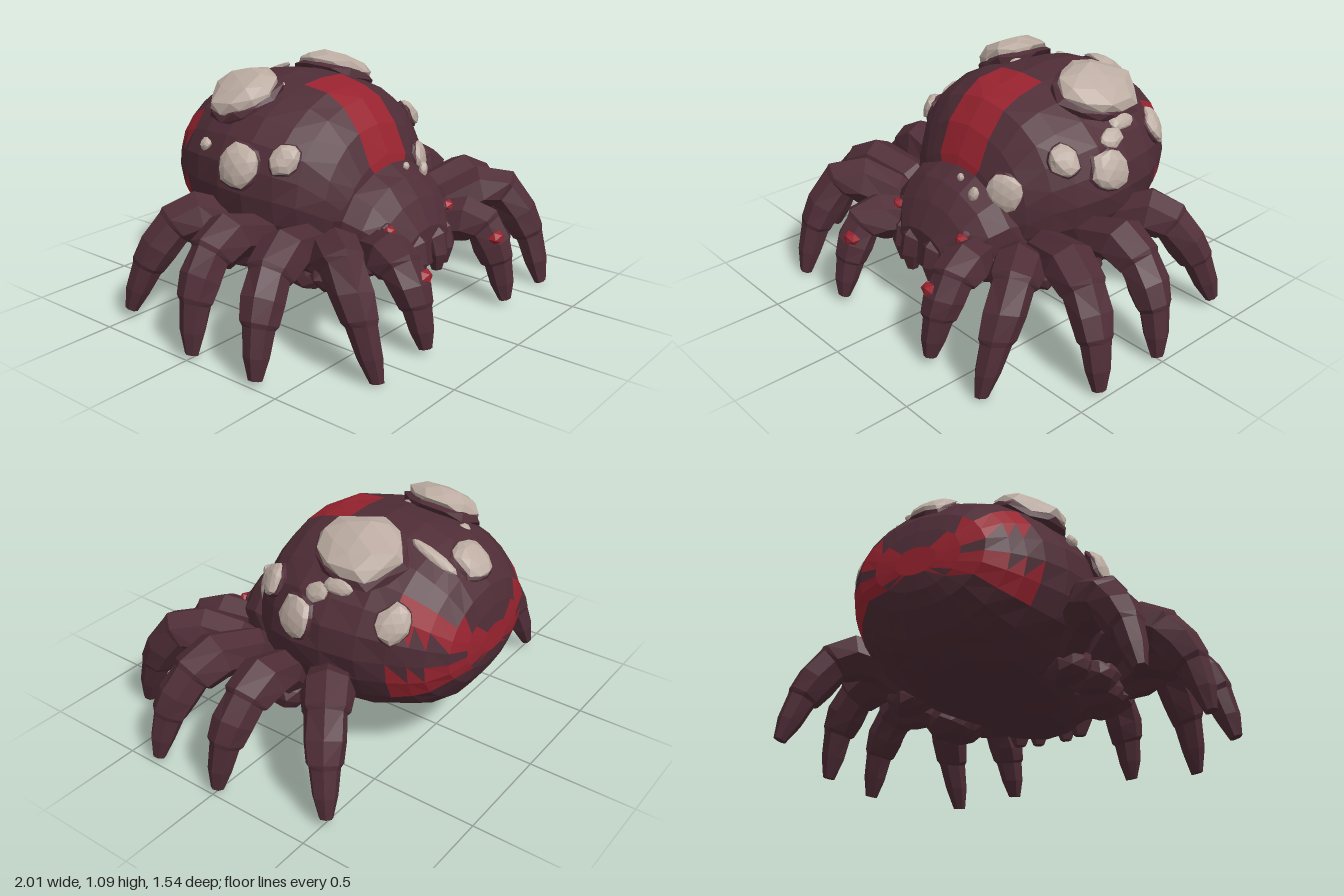
import * as THREE from 'three';

const mat = (name, color) => Object.assign(new THREE.MeshStandardMaterial({ color }), { name });
const V = (x, y, z) => new THREE.Vector3(x, y, z);

// Small repeatable wobble for a hand-cut look
const wobble = (a, b) => { const s = Math.sin(a * 12.99 + b * 78.23) * 43758.55; return s - Math.floor(s) - 0.5; };

// Flat-faceted skin over rings with closed ends; isAccent(centroid) picks the second material
function loft(rings, isAccent = () => false) {
  const faces = [[], []];
  const tri = (a, b, c) => {
    const mid = V(0, 0, 0).add(a).add(b).add(c).divideScalar(3);
    faces[isAccent(mid) ? 1 : 0].push(a, b, c);
  };
  const n = rings[0].length;
  for (let j = 0; j < rings.length - 1; j++) {
    for (let i = 0; i < n; i++) {
      const k = (i + 1) % n, a = rings[j][i], b = rings[j][k], c = rings[j + 1][i], d = rings[j + 1][k];
      if (i < n / 2) { tri(a, c, b); tri(b, c, d); } else { tri(a, d, b); tri(a, c, d); }
    }
  }
  const centre = (r) => r.reduce((s, p) => s.add(p), V(0, 0, 0)).divideScalar(n);
  const first = rings[0], last = rings[rings.length - 1], c0 = centre(first), c1 = centre(last);
  for (let i = 0; i < n; i++) {
    const k = (i + 1) % n;
    tri(c0, first[i], first[k]);
    tri(c1, last[k], last[i]);
  }
  const geo = new THREE.BufferGeometry().setFromPoints([...faces[0], ...faces[1]]);
  geo.addGroup(0, faces[0].length, 0);
  if (faces[1].length) geo.addGroup(faces[0].length, faces[1].length, 1);
  geo.computeVertexNormals();
  return geo;
}

// Elliptical cross-sections along z: [z, half width, top, bottom].
// The first point either side of the top sits at x = +-strip, so a stripe keeps its width.
function bodyRings(stations, n, rough, strip) {
  return stations.map(([z, w, top, bottom], j) => {
    const a1 = Math.asin(Math.min(strip / w, 0.5));
    return Array.from({ length: n }, (_, i) => {
      const m = Math.min(i, n - i), sign = i > n / 2 ? -1 : 1;
      const a = m === 0 ? 0 : sign * (a1 + ((m - 1) / (n / 2 - 1)) * (Math.PI - a1));
      const k = 1 + rough * wobble(i, j);
      return V(Math.sin(a) * w * k, (top + bottom) / 2 + Math.cos(a) * k * (top - bottom) / 2, z);
    });
  });
}

// Tapered limb through points; profile is [t, radius]
function limb(points, profile, scale, sides = 7) {
  const curve = new THREE.CatmullRomCurve3(points);
  const dir = points[points.length - 1].clone().sub(points[0]).setY(0);
  const side = V(0, 1, 0).cross(dir).normalize();
  return loft(profile.map(([t, r], j) => {
    const c = curve.getPoint(t), up = curve.getTangent(t).cross(side).normalize();
    return Array.from({ length: sides }, (_, i) => {
      const a = (i / sides) * Math.PI * 2, k = r * scale * (1 + 0.12 * wobble(i, j + 3));
      return c.clone().addScaledVector(up, Math.cos(a) * k).addScaledVector(side, Math.sin(a) * k);
    });
  }));
}

// Rough faceted lump
function lump(rx, ry, rz, seed, detail = 1) {
  const geo = new THREE.IcosahedronGeometry(1, detail), p = geo.attributes.position;
  for (let i = 0; i < p.count; i++) {
    const x = p.getX(i), y = p.getY(i), z = p.getZ(i);
    const k = 1 + 0.2 * wobble(Math.round(x * 50) + seed, Math.round(y * 50) + Math.round(z * 50) * 3);
    p.setXYZ(i, x * rx * k, y * ry * k, z * rz * k);
  }
  geo.computeVertexNormals();
  return geo;
}

export function createModel() {
  const model = new THREE.Group();
  model.name = 'spider';
  const shell = mat('dark shell', 0x4f2d37);
  const red = mat('red marking', 0x98232f);
  const bone = mat('pale crust', 0xbcaca2);
  const add = (name, geo, material, parent = model) => {
    const m = new THREE.Mesh(geo, material);
    m.name = name;
    parent.add(m);
    return m;
  };

  // Abdomen with a front stripe and a forked rear band
  const abdomen = bodyRings([
    [-0.772, 0.1, 0.67, 0.54], [-0.758, 0.21, 0.755, 0.47], [-0.73, 0.31, 0.835, 0.4], [-0.66, 0.39, 0.92, 0.3],
    [-0.6, 0.43, 0.96, 0.255], [-0.52, 0.475, 1.0, 0.215], [-0.4, 0.525, 1.03, 0.18], [-0.24, 0.56, 1.045, 0.165],
    [-0.09, 0.56, 1.035, 0.165], [0.05, 0.52, 1.01, 0.165], [0.14, 0.46, 0.97, 0.17], [0.23, 0.38, 0.86, 0.2],
    [0.29, 0.29, 0.73, 0.25], [0.32, 0.14, 0.62, 0.35],
  ], 24, 0.03, 0.135);
  const isMarked = ({ x, y, z }) => {
    if (z > -0.09) return Math.abs(x) < 0.12 && y > 0.62;
    if (z > -0.52) return false;
    const t = THREE.MathUtils.clamp((Math.abs(x) - 0.13) / 0.26, 0, 1);
    return Math.abs(y - 0.61 - 0.2 * t) < 0.07 || Math.abs(y - 0.6 + 0.11 * t) < 0.065;
  };
  add('abdomen', loft(abdomen, isMarked), [shell, red]);

  // Head and underside
  add('head', loft(bodyRings([
    [0.08, 0.34, 0.6, 0.18], [0.2, 0.37, 0.66, 0.175], [0.3, 0.36, 0.685, 0.18],
    [0.39, 0.32, 0.64, 0.19], [0.46, 0.26, 0.56, 0.21], [0.525, 0.16, 0.44, 0.25],
  ], 14, 0.05, 0.12)), shell);

  // Five pairs of limbs: [thickness, points from hip to tip]
  const limbs = [
    [0.97, [0.2, 0.33, 0.34], [0.28, 0.39, 0.47], [0.325, 0.375, 0.59], [0.33, 0.23, 0.685], [0.325, 0.035, 0.74]],
    [1, [0.34, 0.3, 0.28], [0.51, 0.44, 0.4], [0.61, 0.46, 0.51], [0.66, 0.27, 0.65], [0.66, 0.015, 0.74]],
    [1, [0.36, 0.3, 0.18], [0.58, 0.46, 0.23], [0.77, 0.41, 0.28], [0.9, 0.25, 0.33], [0.965, 0.025, 0.36]],
    [1, [0.42, 0.3, -0.01], [0.61, 0.47, -0.04], [0.78, 0.42, -0.04], [0.91, 0.26, -0.02], [0.968, 0.025, 0]],
    [1, [0.36, 0.3, -0.16], [0.54, 0.47, -0.28], [0.67, 0.44, -0.37], [0.79, 0.27, -0.45], [0.86, 0.045, -0.51]],
  ];
  const profile = [[0, 0.085], [0.16, 0.105], [0.36, 0.115], [0.52, 0.103], [0.54, 0.093], [0.66, 0.094],
    [0.76, 0.082], [0.78, 0.07], [0.9, 0.055], [1, 0.03]];
  for (const s of [1, -1]) {
    const label = s > 0 ? 'left' : 'right';
    limbs.forEach(([k, ...pts], i) => {
      add(`${label}Leg${i + 1}`, limb(pts.map(([x, y, z]) => V(s * x, y, z)), profile, k), shell);
      const [x, y, z] = pts[0];
      add(`${label}Hip${i + 1}`, lump(0.12, 0.09, 0.095, i), shell).position.set(s * (x + 0.04), y - 0.02, z);
    });

    // Mouth nubs
    for (const [x, z, r] of [[0.075, 0.51, 0.065], [0.165, 0.48, 0.07]]) {
      add(`${label}MouthNub`, limb([V(s * x, 0.41, z - 0.06), V(s * x, 0.34, z), V(s * x, 0.21, z + 0.01)],
        [[0, 0.8], [0.4, 1], [0.7, 0.85], [1, 0.4]], r, 6), shell);
    }

    // Eyes and red limb spots
    add(`${label}EyeSocket`, lump(0.05, 0.045, 0.05, 4), shell).position.set(s * 0.205, 0.46, 0.43);
    add(`${label}Eye`, lump(0.035, 0.03, 0.03, 2, 0), red).position.set(s * 0.225, 0.465, 0.47);
    add(`${label}LimbSpot`, lump(0.045, 0.035, 0.035, 7, 0), red).position.set(s * 0.29, 0.34, 0.7);
  }

  // Pale crust plates on dark rims: [x, y, z, width, thickness, length]
  const plates = [
    [0.3, 1.0, -0.28, 0.17, 0.075, 0.2], [-0.31, 0.99, -0.3, 0.17, 0.075, 0.17],
    [0, 0.935, -0.64, 0.1, 0.035, 0.095], [0.455, 0.8, 0.08, 0.08, 0.035, 0.065],
    [-0.46, 0.77, 0.08, 0.075, 0.035, 0.065], [0.55, 0.73, -0.11, 0.095, 0.035, 0.09],
    [-0.55, 0.73, -0.11, 0.1, 0.04, 0.1], [0.425, 0.78, -0.53, 0.09, 0.035, 0.07],
    [0.28, 0.645, 0.265, 0.09, 0.035, 0.09],
  ];
  const streaks = [
    [0.15, 0.975, -0.54, 0.028, 0.02, 0.12], [0.485, 0.84, -0.18, 0.045, 0.02, 0.06],
    [0.455, 0.885, -0.27, 0.04, 0.02, 0.07], [-0.16, 0.97, -0.5, 0.03, 0.02, 0.03],
    [-0.17, 1.01, -0.24, 0.025, 0.02, 0.07], [-0.52, 0.78, -0.34, 0.03, 0.02, 0.03],
    [0.18, 0.63, 0.36, 0.025, 0.02, 0.035], [0.07, 0.665, 0.34, 0.018, 0.015, 0.02],
  ];
  const crust = ([x, y, z, w, t, l], i, rimmed) => {
    const g = new THREE.Group();
    g.name = rimmed ? 'crustPlate' : 'crustStreak';
    const normal = V(x / 0.3, (y - 0.6) / 0.19, (z + 0.26) / 0.29).normalize();
    g.quaternion.setFromUnitVectors(V(0, 1, 0), normal);
    g.position.set(x, y, z);
    add('crust', lump(w, t, l, i + 1), bone, g);
    if (rimmed) add('rim', lump(w * 1.1, t * 0.8, l * 1.1, i + 1), shell, g).position.y = -t * 0.45;
    model.add(g);
  };
  plates.forEach((p, i) => crust(p, i, true));
  streaks.forEach((p, i) => crust(p, i + 20, false));

  return model;
}
